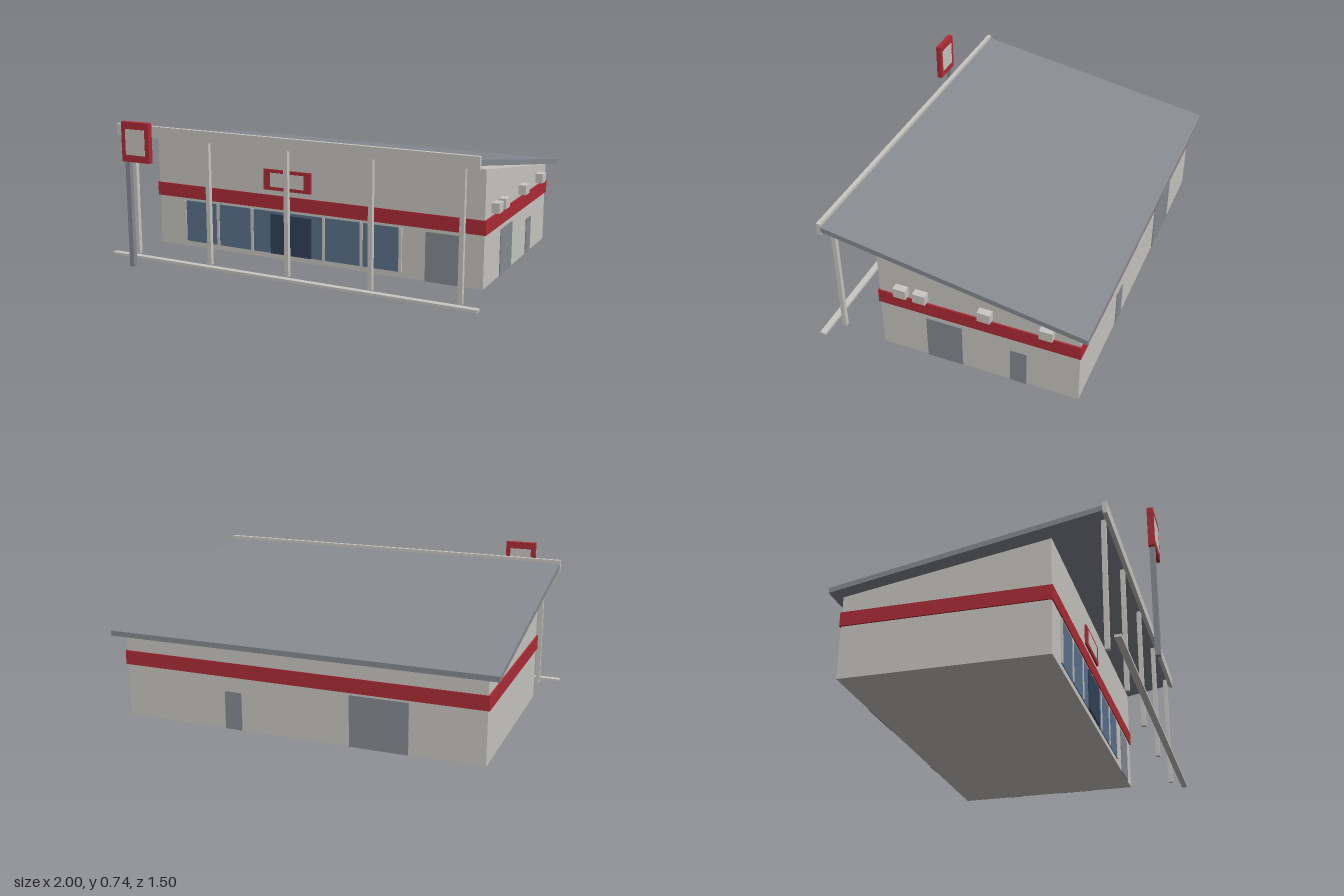
import * as THREE from 'three';

const paint = (name, color) => {
  const m = new THREE.MeshStandardMaterial({ color });
  m.name = name;
  return m;
};

export function createModel() {
  const wall = paint('light grey', 0xc9c7c3);
  const grey = paint('mid grey', 0x878b91);
  const red = paint('red', 0xae2c36);
  const glass = paint('blue glass', 0x5b738d);
  const darkGlass = paint('dark glass', 0x31435a);

  const model = new THREE.Group();
  model.name = 'shopBuilding';

  const add = (name, geometry, material) => {
    const mesh = new THREE.Mesh(geometry, material);
    mesh.name = name;
    model.add(mesh);
    return mesh;
  };

  // Box given by its limits on each axis
  const box = (name, material, [x0, x1], [y0, y1], [z0, z1]) => {
    const g = new THREE.BoxGeometry(x1 - x0, y1 - y0, z1 - z0);
    g.translate((x0 + x1) / 2, (y0 + y1) / 2, (z0 + z1) / 2);
    return add(name, g, material);
  };

  // Side profile of [z, y] points, extruded across the width
  const profile = (name, material, points, halfWidth) => {
    const shape = new THREE.Shape(points.map(([z, y]) => new THREE.Vector2(z, y)));
    const g = new THREE.ExtrudeGeometry(shape, { depth: halfWidth * 2, bevelEnabled: false });
    g.rotateY(-Math.PI / 2);
    g.translate(halfWidth, 0, 0);
    return add(name, g, material);
  };

  // Main block with sloping top, and the painted band around it
  const W = 0.917;
  profile('walls', wall, [[-0.7, 0], [0.3, 0], [0.3, 0.577], [-0.7, 0.418]], W);
  box('wallBand', red, [-0.925, 0.925], [0.264, 0.335], [-0.705, 0.306]);

  // Overhanging roof and front fascia
  profile('roof', grey, [[-0.748, 0.417], [0.55, 0.645], [0.55, 0.672], [-0.748, 0.443]], 0.975);
  box('fascia', wall, [-0.978, 0.975], [0.63, 0.688], [0.547, 0.568]);

  // Canopy posts and kerb
  for (let i = -2; i <= 2; i++) {
    const x = i * 0.446;
    box('canopyPost', wall, [x - 0.011, x + 0.011], [0, 0.648], [0.524, 0.546]);
  }
  box('kerb', wall, [-1, 1], [0, 0.013], [0.585, 0.616]);

  // Shopfront glazing
  box('shopWindow', glass, [-0.755, 0.503], [0.028, 0.25], [0.299, 0.304]);
  for (let i = 0; i <= 6; i++) {
    const x = -0.755 + i * 0.2085;
    box('mullion', wall, [x - 0.008, x + 0.008], [0.028, 0.25], [0.299, 0.308]);
  }
  box('entranceDoor', darkGlass, [-0.225, 0.01], [0.028, 0.237], [0.302, 0.311]);

  // Service doors on the front, left side and back
  box('frontServiceDoor', grey, [0.625, 0.805], [0, 0.247], [0.299, 0.304]);
  box('sideWideDoor', grey, [W - 0.001, W + 0.004], [0, 0.236], [-0.12, 0.062]);
  box('sideNarrowDoor', grey, [W - 0.001, W + 0.004], [0, 0.188], [-0.444, -0.363]);
  box('backNarrowDoor', grey, [0.289, 0.377], [0, 0.19], [-0.704, -0.699]);
  box('backWideDoor', grey, [-0.554, -0.265], [0, 0.253], [-0.704, -0.699]);

  // Air conditioning units
  for (const z of [0.178, 0.078, -0.246, -0.546]) {
    box('airUnit', wall, [W - 0.002, 0.955], [0.35, 0.4], [z - 0.032, z + 0.032]);
  }

  // Wall sign with blank panel
  box('wallSignFrame', red, [-0.262, 0.01], [0.363, 0.47], [0.299, 0.31]);
  box('wallSignPanel', wall, [-0.222, -0.03], [0.381, 0.453], [0.308, 0.313]);

  // Roadside sign on its pole, with a panel on both faces
  box('signPole', grey, [-0.791, -0.765], [0, 0.545], [0.72, 0.744]);
  box('roadSignFrame', red, [-0.807, -0.645], [0.538, 0.736], [0.718, 0.746]);
  box('roadSignPanelFront', wall, [-0.783, -0.669], [0.573, 0.701], [0.744, 0.748]);
  box('roadSignPanelBack', wall, [-0.783, -0.669], [0.573, 0.701], [0.716, 0.72]);

  return model;
}
